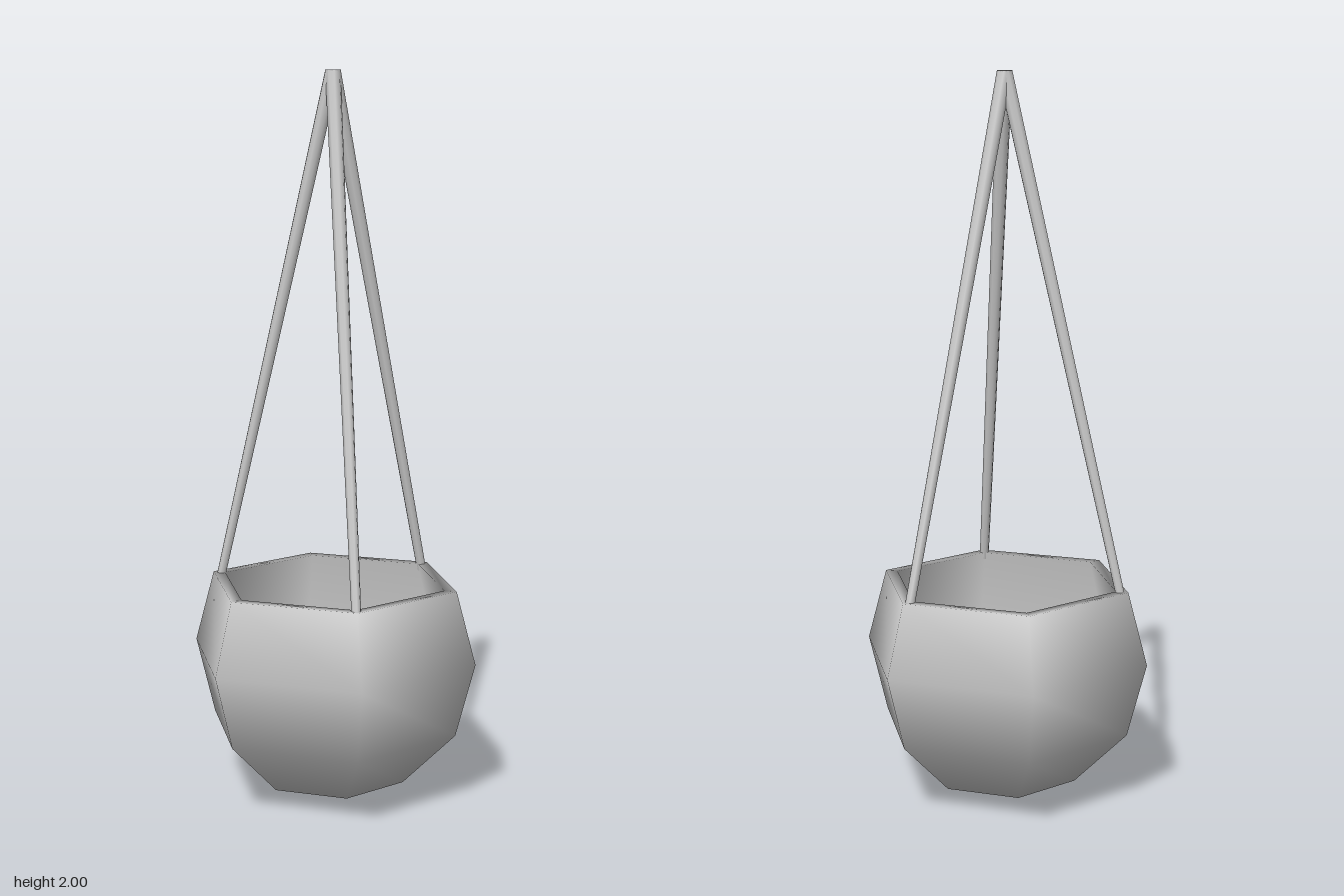
import * as THREE from 'three';

const SIDES = 6;
const RADIUS = 0.41;   // outer bowl radius
const RIM_Y = 0.61;
const APEX_Y = 2;

export function createModel() {
  const model = new THREE.Group();
  const material = new THREE.MeshStandardMaterial({ color: 0xcccccc });

  // Hollow six-sided bowl: arc outside, across the rim, arc back down inside
  const arc = (r, deg) => {
    const a = THREE.MathUtils.degToRad(deg);
    return new THREE.Vector2(r * Math.cos(a), RADIUS + r * Math.sin(a));
  };
  const steps = [-60, -30, 0];
  const profile = [
    new THREE.Vector2(0, 0.005),
    ...steps.map((d) => arc(RADIUS, d)),
    new THREE.Vector2(0.355, RIM_Y),
    new THREE.Vector2(0.32, RIM_Y),
    ...steps.slice().reverse().map((d) => arc(RADIUS - 0.035, d)),
    new THREE.Vector2(0, 0.04),
  ];
  const bowl = new THREE.Mesh(
    new THREE.LatheGeometry(profile, SIDES, Math.PI / 2), material);
  bowl.name = 'bowl';
  model.add(bowl);

  // Three hangers sheared from the rim to a common apex, ends kept level
  const foot = RIM_Y - 0.02;
  const height = APEX_Y - foot;
  const reach = 0.335;
  for (let i = 0; i < 3; i++) {
    const geometry = new THREE.CylinderGeometry(0.021, 0.013, height, 8);
    geometry.translate(0, height / 2, 0);
    const k = -reach / height;
    geometry.applyMatrix4(new THREE.Matrix4().set(
      1, k, 0, reach,
      0, 1, 0, foot,
      0, 0, 1, 0,
      0, 0, 0, 1));
    const hanger = new THREE.Mesh(geometry, material);
    hanger.rotation.y = (i * Math.PI * 2) / 3;
    hanger.name = `hanger${i + 1}`;
    model.add(hanger);
  }
  return model;
}
